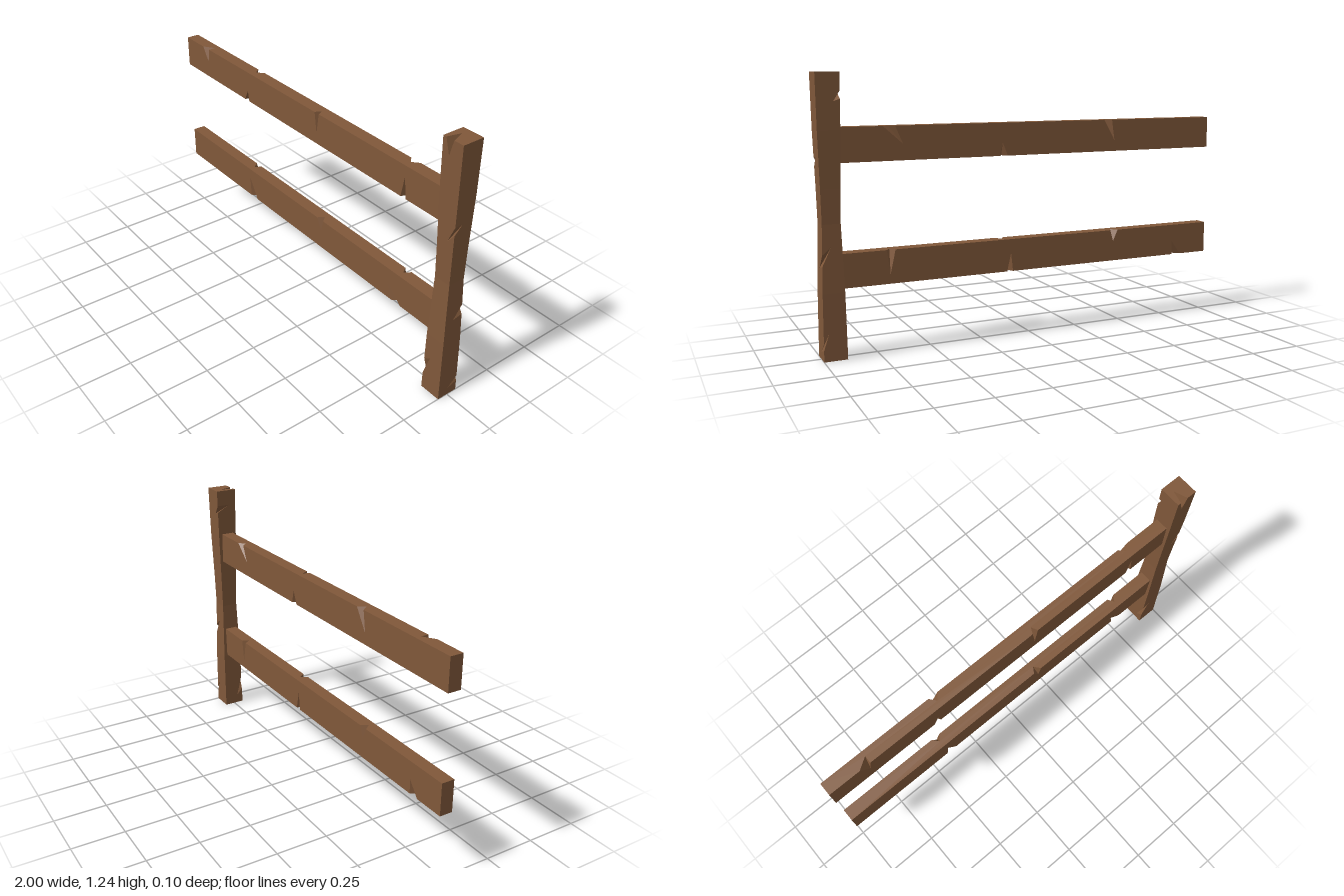
import * as THREE from 'three';

const AXIS = { x: 0, y: 1, z: 2 };
const parseFace = (f) => ({ k: AXIS[f[1]], s: f[0] === '+' ? 1 : 0 });

// Box [min, max] with V-shaped chips cut out of its edges.
// Chip: [face1, face2, t0, t1, [t, d] tip on face1, [t, d] tip on face2];
// t runs along the shared edge, d along the other face's axis.
function chippedBox(min, max, chips) {
  const lim = [min, max];
  const tris = [];
  const tri = (a, b, c, dir) => {
    const n = b.clone().sub(a).cross(c.clone().sub(a));
    tris.push(n.dot(dir) > 0 ? [a, b, c] : [a, c, b]);
  };

  const cuts = chips.map(([f1, f2, t0, t1, tip1, tip2]) => {
    const F = parseFace(f1), G = parseFace(f2), w = 3 - F.k - G.k;
    const point = (t, fd, gd) => {
      const p = new THREE.Vector3();
      p.setComponent(w, t);
      p.setComponent(F.k, fd ?? lim[F.s][F.k]);
      p.setComponent(G.k, gd ?? lim[G.s][G.k]);
      return p;
    };
    const A = point(t0), B = point(t1);
    const P = point(tip1[0], null, tip1[1]), Q = point(tip2[0], tip2[1], null);
    // The two inner walls of the chip
    tri(A, P, Q, B.clone().sub(A));
    tri(B, P, Q, A.clone().sub(B));
    return { F, G, t0, A, B, P, Q };
  });

  const same = (a, k, s) => a.k === k && a.s === s;
  for (let k = 0; k < 3; k++) for (let s = 0; s < 2; s++) {
    const u = (k + 1) % 3, v = (k + 2) % 3;
    const outline = [];
    // Each side of the face: [running axis, fixed axis, fixed side, forward?]
    for (const [w, o, so, fwd] of [[u, v, 0, true], [v, u, 1, true], [u, v, 1, false], [v, u, 0, false]]) {
      const corner = new THREE.Vector3();
      corner.setComponent(k, lim[s][k]);
      corner.setComponent(o, lim[so][o]);
      corner.setComponent(w, lim[fwd ? 0 : 1][w]);
      outline.push(corner);
      const onEdge = cuts.filter((c) =>
        (same(c.F, k, s) && same(c.G, o, so)) || (same(c.G, k, s) && same(c.F, o, so)));
      onEdge.sort((a, b) => (fwd ? a.t0 - b.t0 : b.t0 - a.t0));
      for (const c of onEdge) {
        const tip = same(c.F, k, s) ? c.P : c.Q;
        outline.push(...(fwd ? [c.A, tip, c.B] : [c.B, tip, c.A]));
      }
    }
    const flat = outline.map((p) => new THREE.Vector2(p.getComponent(u), p.getComponent(v)));
    const dir = new THREE.Vector3().setComponent(k, s ? 1 : -1);
    for (const [a, b, c] of THREE.ShapeUtils.triangulateShape(flat, [])) {
      tri(outline[a], outline[b], outline[c], dir);
    }
  }
  return tris;
}

// Keep the part of a polygon on one side of the plane y = level
function clipY(poly, level, side) {
  const out = [];
  poly.forEach((a, i) => {
    const b = poly[(i + 1) % poly.length];
    const da = (a.y - level) * side, db = (b.y - level) * side;
    if (da >= 0) out.push(a);
    if (da * db < 0) out.push(a.clone().lerp(b, da / (da - db)));
  });
  return out;
}

// Slice triangles at the profile heights and scale each height about x = cx
function waist(tris, profile, cx) {
  const out = [];
  for (let i = 0; i + 1 < profile.length; i++) {
    const [y0, s0] = profile[i], [y1, s1] = profile[i + 1];
    const warp = (p) => {
      const s = s0 + (s1 - s0) * (p.y - y0) / (y1 - y0);
      return new THREE.Vector3(cx + (p.x - cx) * s, p.y, p.z * s);
    };
    for (const t of tris) {
      // Level triangles belong to the end caps only
      const level = t.every((p) => p.y === t[0].y);
      if (level && t[0].y !== (i === 0 ? y0 : y1)) continue;
      const poly = clipY(clipY(t, y0, 1), y1, -1).map(warp);
      for (let j = 1; j + 1 < poly.length; j++) out.push([poly[0], poly[j], poly[j + 1]]);
    }
  }
  return out;
}

function toMesh(tris, name, material) {
  const geometry = new THREE.BufferGeometry().setFromPoints(tris.flat());
  geometry.computeVertexNormals();
  const mesh = new THREE.Mesh(geometry, material);
  mesh.name = name;
  return mesh;
}

export function createModel() {
  const group = new THREE.Group();
  group.name = 'fence';
  const wood = new THREE.MeshStandardMaterial({ color: 0x80583a, flatShading: true });

  // Upper rail
  group.add(toMesh(chippedBox([-1, 0.858, -0.031], [0.93, 1.01, 0.031], [
    ['+z', '+y', -0.845, -0.79, [-0.8, 0.94], [-0.79, -0.005]],
    ['+z', '+y', 0.095, 0.125, [0.11, 0.91], [0.11, 0]],
    ['+z', '-y', -0.465, -0.43, [-0.44, 0.91], [-0.45, 0]],
    ['+z', '-y', 0.67, 0.7, [0.69, 0.96], [0.685, 0]],
    ['-z', '+y', -0.435, -0.385, [-0.45, 0.91], [-0.41, 0]],
    ['-z', '+y', 0.655, 0.71, [0.62, 0.93], [0.68, -0.005]],
    ['-z', '-y', 0.12, 0.16, [0.145, 0.92], [0.14, 0]],
  ]), 'upperRail', wood));

  // Lower rail
  group.add(toMesh(chippedBox([-1, 0.312, -0.031], [0.93, 0.465, 0.031], [
    ['+z', '-y', -0.44, -0.385, [-0.447, 0.415], [-0.41, 0]],
    ['+z', '-y', 0.655, 0.71, [0.62, 0.395], [0.68, 0]],
    ['+z', '+y', 0.12, 0.165, [0.15, 0.405], [0.14, 0]],
    ['-z', '+y', 0.665, 0.705, [0.69, 0.355], [0.685, 0]],
    ['-z', '+y', -0.475, -0.43, [-0.45, 0.41], [-0.45, 0]],
    ['-z', '-y', 0.095, 0.125, [0.105, 0.4], [0.11, 0]],
    ['-z', '-y', -0.85, -0.8, [-0.8, 0.38], [-0.82, 0]],
  ]), 'lowerRail', wood));

  // Post, narrowed towards the middle
  const cx = 0.948;
  const post = chippedBox([cx - 0.052, 0, -0.052], [cx + 0.052, 1.243, 0.052], [
    ['+z', '+y', 0.912, 0.952, [0.932, 1.17], [0.928, -0.012]],
    ['+x', '+z', 0.842, 0.882, [0.882, 0.008], [0.8, 0.96]],
    ['+x', '-z', 0.418, 0.468, [0.408, 0.005], [0.5, 0.955]],
    ['+x', '-z', 0.05, 0.08, [0.035, 0], [0.125, 0.975]],
    ['-x', '+z', 0.08, 0.16, [0.045, 0.02], [0.18, 0.93]],
    ['-x', '-z', 1.13, 1.165, [1.165, 0.015], [1.12, 0.925]],
  ]);
  const profile = [[0, 1], [0.3, 0.94], [0.45, 0.86], [0.6, 0.78], [0.75, 0.83], [1, 0.95], [1.243, 1]];
  group.add(toMesh(waist(post, profile, cx), 'post', wood));

  return group;
}
